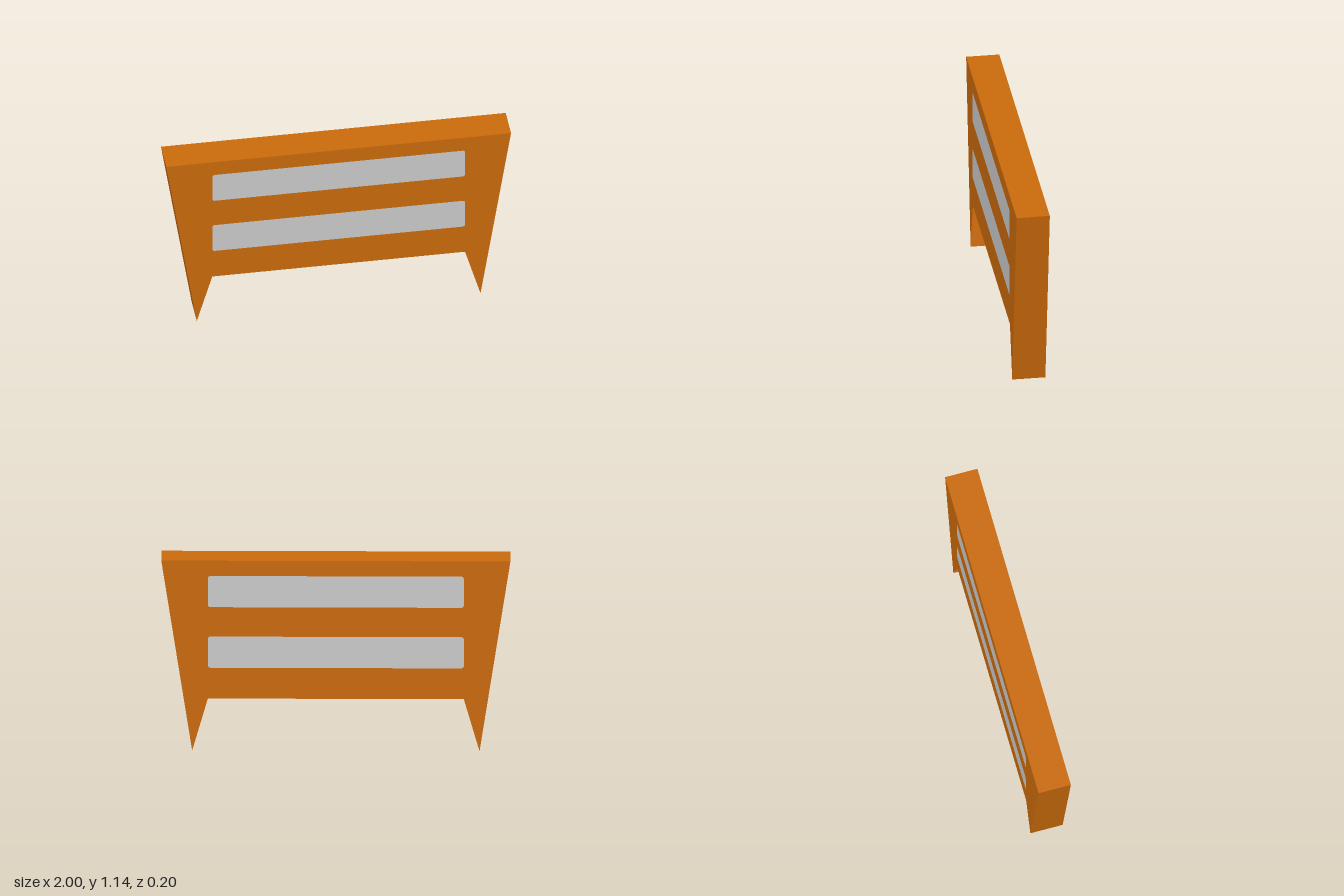
import * as THREE from 'three';

const TOP = 1.138, CUT = 0.312, HALF = 0.096; // top height, underside height, half depth
const TIP = 0.823, INNER = 0.733;             // leg tip and inner leg corner in x

export function createModel() {
  const group = new THREE.Group();
  const orange = new THREE.MeshStandardMaterial({ color: 0xcc6b0b, side: THREE.DoubleSide });
  orange.name = 'safety orange';
  const grey = new THREE.MeshStandardMaterial({ color: 0xcccccc });
  grey.name = 'reflective grey';

  const add = (name, geometry, material) => {
    const mesh = new THREE.Mesh(geometry, material);
    mesh.name = name;
    group.add(mesh);
    return mesh;
  };

  // Flat wall spanning the depth between two points of the outline
  const wall = (name, [x1, y1], [x2, y2]) => {
    const g = new THREE.BufferGeometry();
    g.setAttribute('position', new THREE.Float32BufferAttribute([
      x1, y1, HALF, x1, y1, -HALF, x2, y2, -HALF, x2, y2, HALF], 3));
    g.setIndex([0, 1, 2, 0, 2, 3]);
    g.computeVertexNormals();
    return add(name, g, orange);
  };

  // Front and back boards with pointed legs
  const board = new THREE.Shape([
    [-1, TOP], [-TIP, 0], [-INNER, CUT], [INNER, CUT], [TIP, 0], [1, TOP],
  ].map(([x, y]) => new THREE.Vector2(x, y)));

  // Rounded strip outline
  const strip = (y0, y1) => {
    const w = INNER, r = 0.015, s = new THREE.Shape();
    s.absarc(w - r, y0 + r, r, -Math.PI / 2, 0);
    s.absarc(w - r, y1 - r, r, 0, Math.PI / 2);
    s.absarc(-w + r, y1 - r, r, Math.PI / 2, Math.PI);
    s.absarc(-w + r, y0 + r, r, Math.PI, Math.PI * 1.5);
    return s;
  };

  for (const [side, turn] of [['front', 0], ['back', Math.PI]]) {
    const place = (name, shape, z, material) =>
      add(name, new THREE.ShapeGeometry(shape, 4).translate(0, 0, z).rotateY(turn), material);
    place(side + 'Board', board, HALF, orange);
    place(side + 'UpperStrip', strip(0.86, 1.047), HALF + 0.002, grey);
    place(side + 'LowerStrip', strip(0.497, 0.684), HALF + 0.002, grey);
  }

  // Top, sloping ends and inner partitions; the shell is open underneath
  wall('topPanel', [1, TOP], [-1, TOP]);
  wall('leftEnd', [TIP, 0], [1, TOP]);
  wall('rightEnd', [-1, TOP], [-TIP, 0]);
  wall('leftPartition', [INNER, CUT], [INNER, TOP]);
  wall('rightPartition', [-INNER, TOP], [-INNER, CUT]);

  return group;
}
